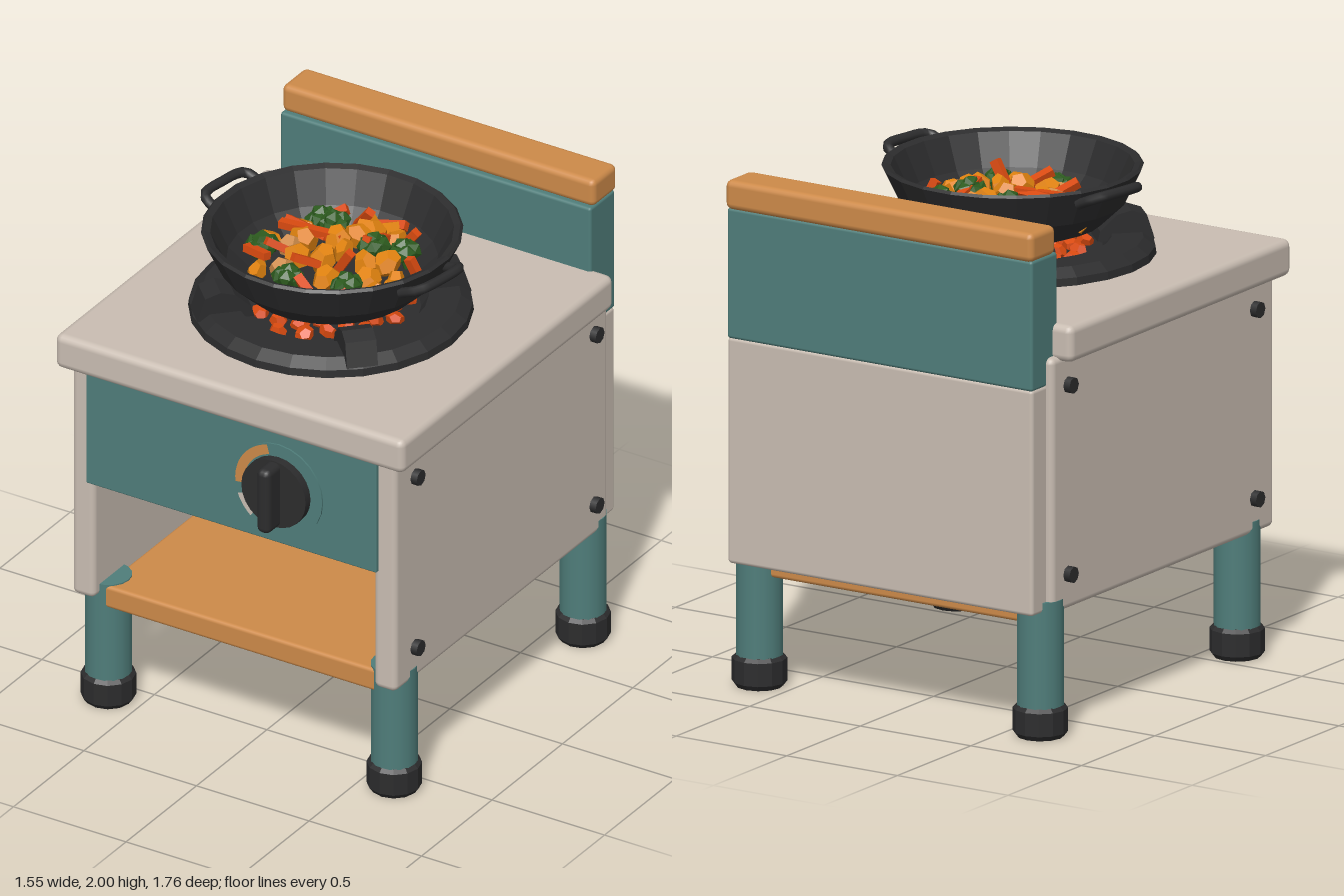
import * as THREE from 'three';
import { RoundedBoxGeometry } from 'three/addons/geometries/RoundedBoxGeometry.js';

const mat = (name, color) => {
  const m = new THREE.MeshStandardMaterial({ color });
  m.name = name;
  return m;
};

export function createModel() {
  const grey = mat('warm grey enamel', 0xc9bdb2);
  const teal = mat('teal paint', 0x4f7d7a);
  const wood = mat('wood', 0xcd8a49);
  const black = mat('black iron', 0x2c2c2d);
  const orange = mat('orange vegetable', 0xe0820f);
  const green = mat('green vegetable', 0x2c5a1e);
  const red = mat('ember red', 0xd94a10);

  const model = new THREE.Group();
  model.name = 'stove';
  const add = (name, geo, material, x = 0, y = 0, z = 0, parent = model) => {
    const mesh = new THREE.Mesh(geo, material);
    mesh.name = name;
    mesh.position.set(x, y, z);
    parent.add(mesh);
    return mesh;
  };
  // Box given by its limits, with softened edges
  const block = (name, material, [x0, x1], [y0, y1], [z0, z1], r = 0.02) =>
    add(name, new RoundedBoxGeometry(x1 - x0, y1 - y0, z1 - z0, 2, r), material,
      (x0 + x1) / 2, (y0 + y1) / 2, (z0 + z1) / 2);
  const flat = (geo) => {
    const g = geo.index ? geo.toNonIndexed() : geo;
    g.computeVertexNormals();
    return g;
  };
  const lathe = (points, sides) =>
    flat(new THREE.LatheGeometry(points.map(([r, y]) => new THREE.Vector2(r, y)), sides));

  // Cabinet
  block('counterTop', grey, [-0.775, 0.775], [1.47, 1.615], [-0.73, 0.775], 0.03);
  block('backPanel', grey, [-0.69, 0.69], [0.5, 1.385], [-0.868, -0.755], 0.015);
  block('backBoard', teal, [-0.69, 0.69], [1.38, 1.89], [-0.87, -0.695], 0.012);
  block('backRail', wood, [-0.695, 0.695], [1.885, 2], [-0.88, -0.71], 0.025);
  block('controlPanel', teal, [-0.645, 0.645], [1.0, 1.48], [0.69, 0.755], 0.006);
  block('shelf', wood, [-0.61, 0.61], [0.44, 0.535], [-0.77, 0.69], 0.015);

  for (const s of [-1, 1]) {
    const panel = block('sidePanel', grey, [-0.05, 0.05], [0.49, 1.49], [-0.775, 0.738], 0.025);
    panel.position.x = s * 0.67;
    for (const z of [0.6, -0.67]) for (const y of [0.63, 1.37]) {
      const screw = add('screw', new THREE.CylinderGeometry(0.032, 0.032, 0.04, 8), black, s * 0.728, y, z);
      screw.rotation.z = Math.PI / 2;
    }
    // Legs with rubber feet
    for (const z of [0.61, -0.73]) {
      add('leg', new THREE.CylinderGeometry(0.09, 0.09, 0.46, 16), teal, s * 0.635, 0.31, z);
      add('foot', lathe([[0, 0], [0.09, 0], [0.105, 0.02], [0.105, 0.11], [0.09, 0.125], [0, 0.125]], 12),
        black, s * 0.635, 0, z);
    }
  }

  // Control knob and dial marks
  const knob = new THREE.Group();
  knob.name = 'knob';
  knob.position.set(0.215, 1.235, 0);
  model.add(knob);
  const disc = (name, material, r, z0, z1) => {
    const d = add(name, new THREE.CylinderGeometry(r, r, z1 - z0, 24), material, 0, 0, (z0 + z1) / 2, knob);
    d.rotation.x = Math.PI / 2;
  };
  disc('dialPlate', teal, 0.195, 0.74, 0.762);
  disc('knobBase', black, 0.143, 0.75, 0.797);
  add('knobGrip', new RoundedBoxGeometry(0.06, 0.275, 0.11, 2, 0.025), black, 0, 0, 0.825, knob);
  const arc = (name, material, from, to) => add(name, new THREE.RingGeometry(0.15, 0.19, 12, 1,
    THREE.MathUtils.degToRad(from), THREE.MathUtils.degToRad(to - from)), material, 0, 0, 0.765, knob);
  arc('heatMark', wood, 105, 185);
  arc('lowMark', grey, 200, 230);

  // Burner ring with pan supports and embers
  const burner = new THREE.Group();
  burner.name = 'burner';
  burner.position.set(0, 0, 0.045);
  model.add(burner);
  add('burnerRing', lathe([[0.54, 1.605], [0.535, 1.645], [0.49, 1.678], [0.37, 1.678], [0.34, 1.625], [0, 1.625]], 24),
    black, 0, 0, 0, burner);
  const prongShape = new THREE.Shape([[0.31, 1.65], [0.53, 1.65], [0.5, 1.745], [0.44, 1.765], [0.385, 1.75], [0.32, 1.69]]
    .map(([x, y]) => new THREE.Vector2(x, y)));
  const prongGeo = new THREE.ExtrudeGeometry(prongShape, { depth: 0.12, bevelEnabled: false }).translate(0, 0, -0.06);
  for (let i = 0; i < 4; i++) {
    add('panSupport', prongGeo, black, 0, 0, 0, burner).rotation.y = Math.PI / 4 + i * Math.PI / 2;
  }
  const emberGeo = new THREE.DodecahedronGeometry(0.036);
  for (let i = 0; i < 42; i++) {
    const a = i * 2.39996, r = 0.3 * Math.sqrt((i + 0.5) / 42);
    const e = add('ember', emberGeo, red, r * Math.cos(a), 1.637, r * Math.sin(a), burner);
    e.rotation.set(i, i * 2, 0);
    e.scale.set(1.1, 0.8, 1);
  }

  // Wok with two side handles
  const wok = new THREE.Group();
  wok.name = 'wok';
  wok.position.set(0.005, 0, 0.045);
  wok.rotation.y = -0.17;
  model.add(wok);
  add('wokBowl', lathe([[0, 1.69], [0.22, 1.69], [0.34, 1.735], [0.43, 1.82], [0.495, 1.955], [0.485, 1.965],
    [0.46, 1.955], [0.4, 1.83], [0.32, 1.755], [0.2, 1.72], [0, 1.715]], 24), black, 0, 0, 0, wok);
  const handlePath = new THREE.CatmullRomCurve3([[0.46, 1.91, -0.13], [0.54, 1.945, -0.115], [0.555, 1.95, 0],
    [0.54, 1.945, 0.115], [0.46, 1.91, 0.13]].map((p) => new THREE.Vector3(...p)));
  for (const a of [0, Math.PI]) {
    add('wokHandle', new THREE.TubeGeometry(handlePath, 16, 0.02, 8), black, 0, 0, 0, wok).rotation.y = a;
  }

  // Stir-fry heaped in the wok
  const food = new THREE.Group();
  food.name = 'stirFry';
  model.add(food);
  const heap = (x, z) => 1.765 + 0.1 * Math.max(0, 1 - (x * x + z * z) / 0.13);

  // Broccoli: a stalk and a cluster of florets
  const floretGeo = new THREE.IcosahedronGeometry(0.04);
  const stalkGeo = new THREE.CylinderGeometry(0.025, 0.02, 0.07, 6);
  [[-0.2, -0.21], [-0.1, -0.14], [-0.29, 0.07], [0.21, -0.14], [0.12, -0.07], [-0.06, 0.25], [0.16, 0.19]]
    .forEach(([x, z], k) => {
      const head = new THREE.Group();
      head.name = 'broccoli';
      head.position.set(x, heap(x, z) + 0.012, z);
      head.rotation.set(0.3 * Math.sin(k), k, 0.3 * Math.cos(k));
      food.add(head);
      add('stalk', stalkGeo, green, 0, -0.03, 0, head);
      add('floret', floretGeo, green, 0, 0.02, 0, head);
      for (let i = 0; i < 5; i++) {
        const a = i * Math.PI * 0.4;
        add('floret', floretGeo, green, 0.03 * Math.cos(a), 0, 0.03 * Math.sin(a), head).rotation.y = i;
      }
    });

  // Orange chunks
  const chunkGeo = new THREE.DodecahedronGeometry(0.062);
  [[-0.32, -0.01], [-0.1, 0.12], [0, 0.1], [-0.22, 0.22], [0.26, 0.14], [0.07, -0.28], [0.28, 0.03], [0.15, 0.04],
    [0.05, -0.18], [-0.22, -0.11], [-0.02, -0.04], [0.07, 0.19], [0.13, -0.2], [0.2, -0.03], [-0.15, 0], [0.04, 0.02],
    [-0.02, -0.24], [0.3, 0.08], [0.02, -0.12], [0.2, 0.1]].forEach(([x, z], i) => {
    const c = add('vegetableChunk', chunkGeo, orange, x, heap(x, z) - 0.005, z, food);
    c.rotation.set(i * 1.3, i * 2.1, i * 0.7);
    c.scale.set(1, 0.6 + 0.15 * (i % 3), 0.85);
  });

  // Red strips: x, z, heading, length
  const stripGeo = new THREE.BoxGeometry(1, 0.03, 0.035);
  [[-0.13, -0.02, 0.1, 0.26], [-0.16, -0.04, -0.1, 0.2], [-0.04, -0.25, 0.9, 0.13], [-0.27, 0.14, 0.3, 0.12],
    [0.22, 0.25, 0.5, 0.12], [0.31, -0.06, 1.2, 0.12], [0.11, -0.1, 1.5, 0.14], [0.06, -0.3, 0.2, 0.12],
    [0.1, 0.12, 1.0, 0.14], [-0.02, 0.17, 2.2, 0.14], [-0.16, -0.23, 2.4, 0.12], [0.18, -0.22, 2.2, 0.12],
    [-0.17, 0.12, 0.8, 0.14], [0.03, 0.28, 2.6, 0.1]].forEach(([x, z, turn, length], i) => {
    const s = add('vegetableStrip', stripGeo, red, x, heap(x, z) + 0.025, z, food);
    s.scale.x = length;
    s.rotation.set(i, turn, 0.15 * Math.sin(i * 2));
  });
  // Pale pieces
  for (const [x, z] of [[-0.17, 0.06], [0.24, 0.2], [-0.12, 0.2]]) {
    add('palePiece', new THREE.DodecahedronGeometry(0.05), wood, x, heap(x, z) - 0.005, z, food);
  }
  return model;
}
